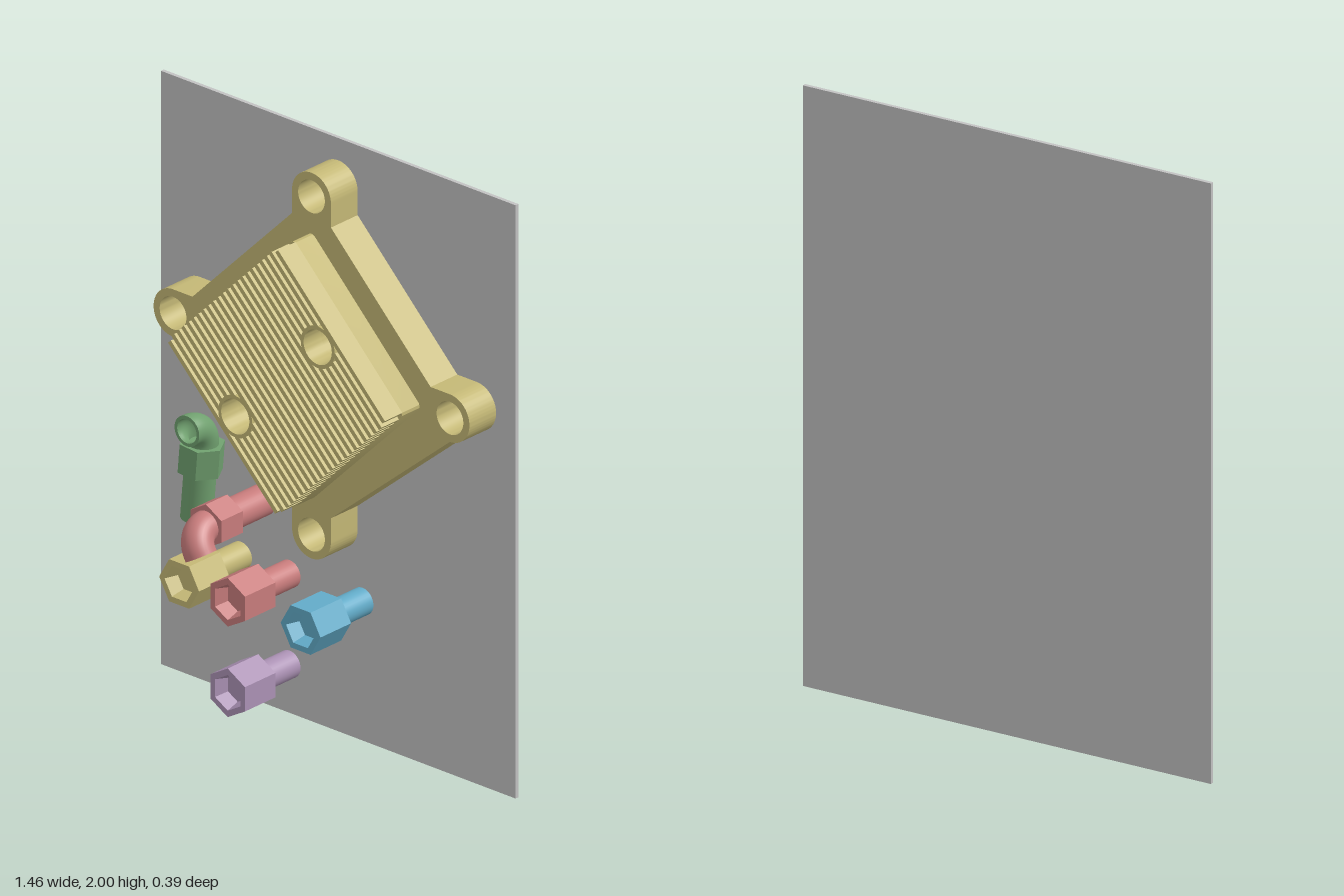
import * as THREE from 'three';
import { toCreasedNormals } from 'three/addons/utils/BufferGeometryUtils.js';

const mat = (name, color) => {
  const m = new THREE.MeshStandardMaterial({ color, side: THREE.DoubleSide });
  m.name = name;
  return m;
};

export function createModel() {
  const grey = mat('panel grey', 0xc2c2c2);
  const khaki = mat('khaki', 0xc4b876);
  const red = mat('dusty red', 0xc87c7c);
  const green = mat('muted green', 0x70a06f);
  const blue = mat('sky blue', 0x62abc8);
  const purple = mat('soft purple', 0xac92b5);

  const model = new THREE.Group();
  const BACK = -0.182; // front face of the panel

  const add = (parent, name, geo, material, x = 0, y = 0, z = 0) => {
    const mesh = new THREE.Mesh(geo, material);
    mesh.name = name;
    mesh.position.set(x, y, z);
    parent.add(mesh);
    return mesh;
  };
  const extrude = (shape, depth) => toCreasedNormals(
    new THREE.ExtrudeGeometry(shape, { depth, bevelEnabled: false, curveSegments: 24 }), 0.6);
  const hole = (shape, x, y, r) =>
    shape.holes.push(new THREE.Path().absarc(x, y, r, 0, Math.PI * 2, true));
  // Cylinder along z, from z0 to z0 + length
  const rod = (r, length, z0, sides = 32) => {
    const g = new THREE.CylinderGeometry(r, r, length, sides);
    g.rotateX(Math.PI / 2).translate(0, 0, z0 + length / 2);
    return sides < 8 ? toCreasedNormals(g, 0.3) : g;
  };

  // Backing panel
  add(model, 'backPanel', new THREE.BoxGeometry(1.46, 2, 0.013), grey, 0, 1, BACK - 0.0065);

  // Mounting base with four drilled ears
  const sink = new THREE.Group();
  sink.name = 'finnedBlock';
  sink.position.set(0, 1.275, 0);
  model.add(sink);
  const base = new THREE.Shape();
  const EAR = 0.57, EAR_R = 0.08, NECK = 0.49;
  for (let k = 0; k < 4; k++) {
    const a = k * Math.PI / 2, c = Math.cos(a), s = Math.sin(a);
    const turn = (x, y) => [x * c - y * s, x * s + y * c];
    if (k === 0) base.moveTo(...turn(NECK, -EAR_R));
    else base.lineTo(...turn(NECK, -EAR_R));
    base.absarc(EAR * c, EAR * s, EAR_R, a - Math.PI / 2, a + Math.PI / 2, false);
    base.lineTo(...turn(NECK, EAR_R));
    hole(base, EAR * c, EAR * s, 0.055);
  }
  base.closePath();
  add(sink, 'mountingBase', extrude(base, -0.06 - BACK), khaki, 0, 0, BACK);

  // Diamond core: local x runs along the fins, local y across them
  const core = new THREE.Group();
  core.name = 'core';
  core.rotation.z = -Math.PI / 4;
  sink.add(core);
  const H = 0.32, CR = 0.02, BOSS = 0.24, BOSS_R = 0.07, BORE = 0.058;
  const FLOOR = 0.02, TOP = 0.10;
  const block = new THREE.Shape();
  [[1, 1], [-1, 1], [-1, -1], [1, -1]].forEach(([sx, sy], i) =>
    block.absarc(sx * (H - CR), sy * (H - CR), CR, i * Math.PI / 2, (i + 1) * Math.PI / 2, false));
  block.closePath();
  for (const s of [1, -1]) hole(block, 0, s * BOSS, BORE);
  add(core, 'coreBlock', extrude(block, FLOOR + 0.06), khaki, 0, 0, -0.06);

  // Fins, interrupted around the two bosses
  const FINS = 23, PITCH = 2 * H / (FINS - 0.45), THICK = PITCH * 0.55;
  for (let i = 0; i < FINS; i++) {
    const v = -H + THICK / 2 + i * PITCH;
    const end = i === 0 || i === FINS - 1 ? H - 0.009 : H;
    const d = Math.abs(Math.abs(v) - BOSS);
    const gap = d < BOSS_R - 0.004 ? Math.sqrt((BOSS_R - 0.004) ** 2 - d * d) : 0;
    const spans = gap ? [[-end, -gap], [gap, end]] : [[-end, end]];
    for (const [a, b] of spans) {
      add(core, 'fin', new THREE.BoxGeometry(b - a, THICK, TOP - FLOOR), khaki,
        (a + b) / 2, v, (TOP + FLOOR) / 2);
    }
  }
  for (const s of [1, -1]) {
    const ring = new THREE.Shape().absarc(0, 0, BOSS_R, 0, Math.PI * 2, false);
    hole(ring, 0, 0, BORE);
    add(core, 'screwBoss', extrude(ring, TOP - FLOOR), khaki, 0, s * BOSS, FLOOR);
  }

  // Straight fittings: hex head with a tapered socket on a round stem
  const headProfile = [[0, 0], [0.062, 0], [0.082, 0.016], [0.082, 0.156],
    [0.06, 0.156], [0.046, 0.11], [0, 0.11]].map(p => new THREE.Vector2(...p));
  const headGeo = toCreasedNormals(new THREE.LatheGeometry(headProfile, 6).rotateX(Math.PI / 2), 0.1);
  // Turn the lathe's axis so the socket faces forward
  const straight = (name, material, x, y, spin) => {
    const g = new THREE.Group();
    g.name = name;
    g.position.set(x, y, 0);
    g.rotation.z = spin;
    add(g, 'hexHead', headGeo, material, 0, 0, -0.055);
    add(g, 'stem', rod(0.045, -0.05 - BACK, BACK), material);
    model.add(g);
  };
  straight('khakiFitting', khaki, -0.4, 0.47, Math.PI / 6);
  straight('redFitting', red, -0.2, 0.47, 0);
  straight('blueFitting', blue, 0.1, 0.47, Math.PI / 6);
  straight('purpleFitting', purple, -0.2, 0.165, 0);

  // Elbow fittings: stem, hex collar and open bend turning towards local +x
  const BEND = 0.065, COLLAR = 0.26;
  const path = new THREE.CurvePath();
  const at = (x, z) => new THREE.Vector3(x, 0, z);
  const K = BEND * 0.5523;
  path.add(new THREE.CubicBezierCurve3(at(0, COLLAR), at(0, COLLAR + K),
    at(BEND - K, COLLAR + BEND), at(BEND, COLLAR + BEND)));
  path.add(new THREE.LineCurve3(at(BEND, COLLAR + BEND), at(0.077, COLLAR + BEND)));
  const elbow = (name, material) => {
    const g = new THREE.Group();
    g.name = name;
    add(g, 'stem', rod(0.051, 0.17, 0), material);
    add(g, 'hexCollar', rod(0.073, 0.098, COLLAR - 0.098, 6), material);
    add(g, 'bend', new THREE.TubeGeometry(path, 20, 0.051, 32), material);
    add(g, 'bore', new THREE.TubeGeometry(path, 20, 0.04, 32), material);
    const rim = add(g, 'rim', new THREE.RingGeometry(0.04, 0.051, 32), material,
      0.077, 0, COLLAR + BEND);
    rim.rotation.y = Math.PI / 2;
    model.add(g);
    return g;
  };
  const redElbow = elbow('redElbow', red);
  redElbow.position.set(-0.31, 0.685, BACK);
  redElbow.rotation.z = -Math.PI / 3;

  // Second elbow lies along the panel, its mouth facing forward
  const greenElbow = elbow('greenElbow', green);
  const axis = new THREE.Vector3(0.09, 1, 0).normalize();
  const mouth = new THREE.Vector3(0, 0, 1);
  greenElbow.quaternion.setFromRotationMatrix(new THREE.Matrix4().makeBasis(
    mouth, axis.clone().cross(mouth), axis));
  greenElbow.position.set(-0.525, 0.582, -0.118);

  return model;
}
